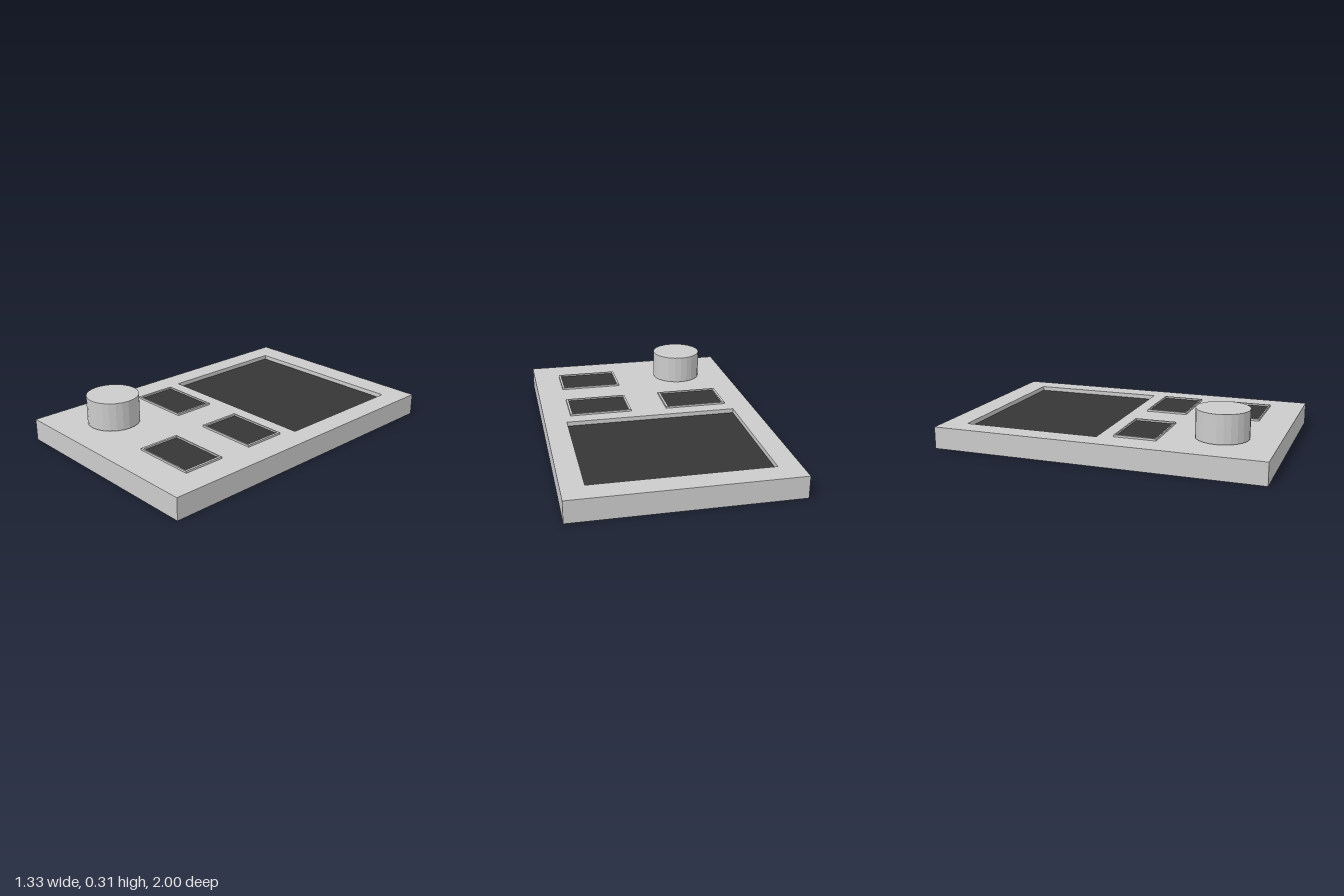
import * as THREE from 'three';

const GREY = new THREE.MeshStandardMaterial({ color: 0xcccccc, flatShading: true });
const DARK = new THREE.MeshStandardMaterial({ color: 0x363636, flatShading: true });
const TOP = 0.134;

function add(parent, name, geometry, material, x, y, z) {
  const mesh = new THREE.Mesh(geometry, material);
  mesh.name = name;
  mesh.position.set(x, y, z);
  parent.add(mesh);
  return mesh;
}

function rectPoints(w, d, x = 0, y = 0) {
  return [[-1, -1], [1, -1], [1, 1], [-1, 1]].map(
    ([sx, sy]) => new THREE.Vector2(x + sx * w / 2, y + sy * d / 2));
}

// Upright-lying rectangular plate with a rectangular opening at (hx, hz)
function framedPlate(w, d, h, holeW, holeD, hx = 0, hz = 0) {
  const shape = new THREE.Shape(rectPoints(w, d));
  shape.holes.push(new THREE.Path(rectPoints(holeW, holeD, hx, -hz)));
  return new THREE.ExtrudeGeometry(shape, { depth: h, bevelEnabled: false }).rotateX(-Math.PI / 2);
}

function panel(w, d) {
  return new THREE.PlaneGeometry(w, d).rotateX(-Math.PI / 2);
}

export function createModel() {
  const group = new THREE.Group();
  group.name = 'handheldPanel';

  // Body with a sunken screen, closed underneath
  const sw = 1.066, sd = 0.84, sz = -0.435;
  add(group, 'body', framedPlate(1.334, 2, TOP, sw, sd, 0, sz), GREY, 0, 0, 0);
  add(group, 'screenBacking', new THREE.BoxGeometry(sw, 0.1, sd), GREY, 0, 0.05, sz);
  add(group, 'screen', panel(sw, sd), DARK, 0, 0.107, sz);

  // Three buttons: thin raised rim around a dark inset
  for (const [x, z] of [[-0.309, 0.206], [0.306, 0.206], [0.306, 0.668]]) {
    const button = new THREE.Group();
    button.name = 'button';
    button.position.set(x, TOP, z);
    add(button, 'buttonRim', framedPlate(0.388, 0.256, 0.012, 0.36, 0.24), GREY, 0, 0, 0);
    add(button, 'buttonInset', panel(0.36, 0.24), DARK, 0, 0.002, 0);
    group.add(button);
  }

  // Knob on a short shaft
  add(group, 'knobShaft', new THREE.CylinderGeometry(0.11, 0.11, 0.03, 24), GREY, -0.317, 0.135, 0.67);
  add(group, 'knob', new THREE.CylinderGeometry(0.157, 0.157, 0.173, 24), GREY, -0.317, 0.2255, 0.67);

  return group;
}
